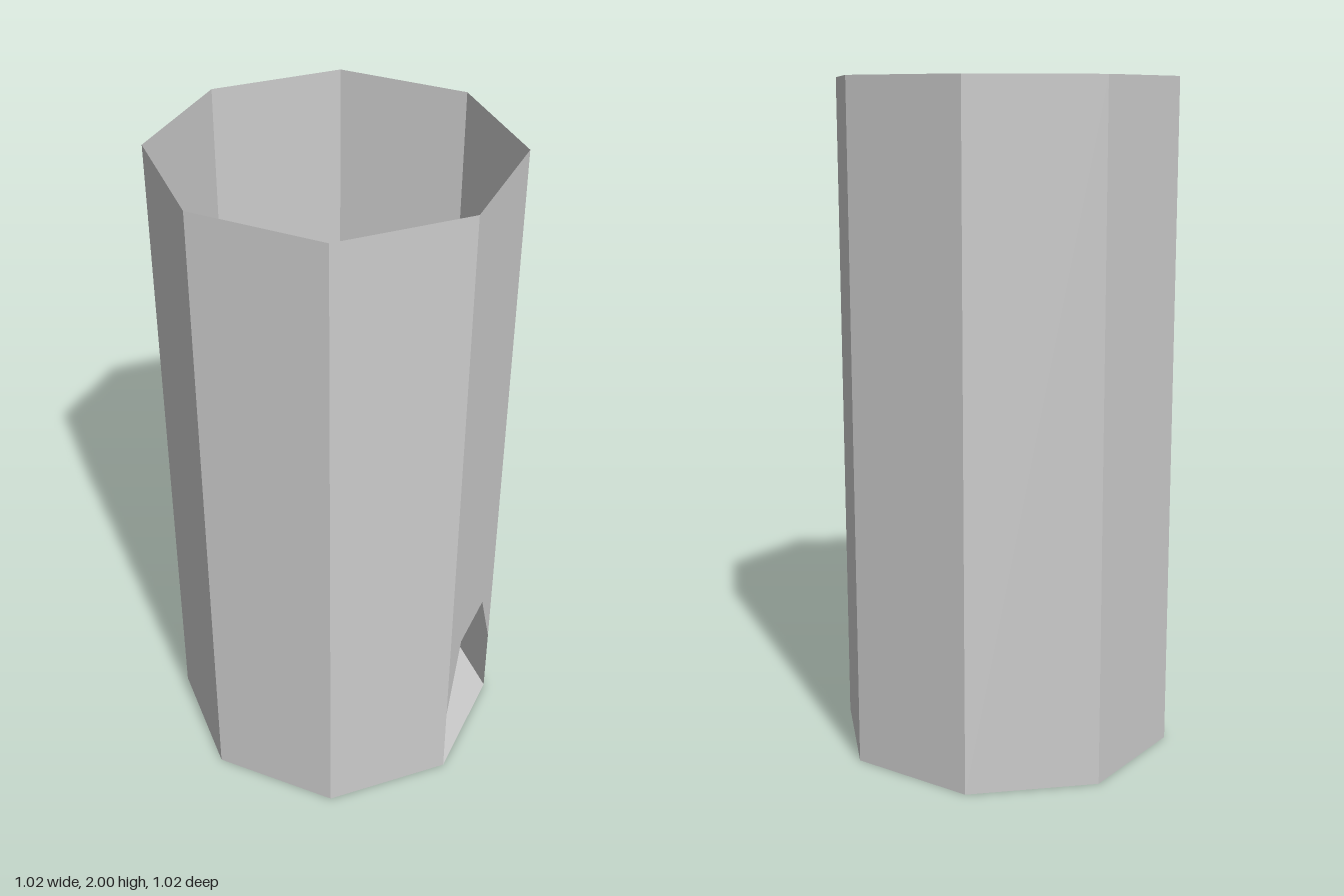
import * as THREE from 'three';

const SIDES = 8;
const RADIUS = 0.51;
const HEIGHT = 2;
const STEP = (Math.PI * 2) / SIDES;

export function createModel() {
  const group = new THREE.Group();
  group.name = 'octagonalTower';
  const material = new THREE.MeshStandardMaterial({
    color: 0xcccccc, flatShading: true, side: THREE.DoubleSide,
  });
  const add = (name, geometry) => {
    const mesh = new THREE.Mesh(geometry, material);
    mesh.name = name;
    group.add(mesh);
    return mesh;
  };

  // Seven plain sides of the thin open-topped shell
  add('walls', new THREE.CylinderGeometry(
    RADIUS, RADIUS, HEIGHT, SIDES - 1, 1, true, STEP, STEP * (SIDES - 1),
  )).position.y = HEIGHT / 2;

  // Eighth side, cut away below by a doorway with sloping shoulders
  const half = RADIUS * Math.sin(STEP / 2);
  const apothem = RADIUS * Math.cos(STEP / 2);
  const shoulder = 0.235;
  const lintel = 0.47;
  const panel = new THREE.Shape([
    [-half, shoulder], [-half / 2, lintel], [half / 2, lintel],
    [half, shoulder], [half, HEIGHT], [-half, HEIGHT],
  ].map(([x, y]) => new THREE.Vector2(x, y)));
  const doorWall = new THREE.ShapeGeometry(panel);
  doorWall.translate(0, 0, apothem).rotateY(STEP / 2);
  add('doorWall', doorWall);

  // Floor, seen from inside and from below
  const floor = new THREE.CircleGeometry(RADIUS, SIDES);
  floor.rotateX(Math.PI / 2);
  add('floor', floor);

  return group;
}
